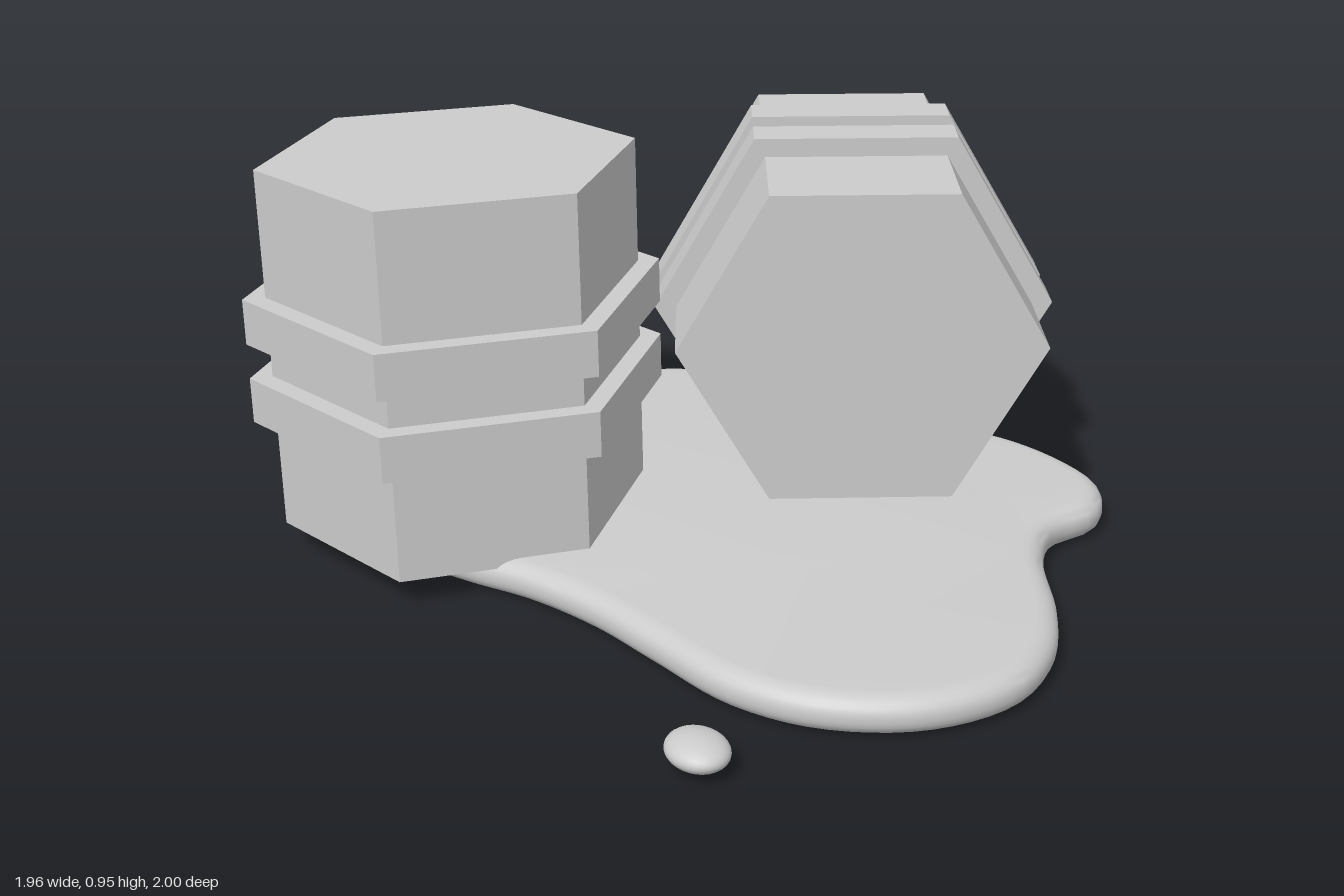
import * as THREE from 'three';
import { mergeVertices, toCreasedNormals } from 'three/addons/utils/BufferGeometryUtils.js';

const flatGrey = new THREE.MeshStandardMaterial({ color: 0xcccccc, flatShading: true });
const smoothGrey = new THREE.MeshStandardMaterial({ color: 0xcccccc });

function addMesh(parent, name, geometry, material) {
  const mesh = new THREE.Mesh(geometry, material);
  mesh.name = name;
  parent.add(mesh);
  return mesh;
}

// Hexagonal prism sized by its distance across flats
function hexPrism(acrossFlats, height) {
  const radius = acrossFlats / 2 / Math.cos(Math.PI / 6);
  return new THREE.CylinderGeometry(radius, radius, height, 6);
}

// Six-sided barrel with two raised hoops, centred on its own middle
function createBarrel(name) {
  const barrel = new THREE.Group();
  barrel.name = name;
  addMesh(barrel, 'barrelBody', hexPrism(0.76, 0.88), flatGrey);
  for (const y of [-0.115, 0.08]) {
    addMesh(barrel, 'barrelHoop', hexPrism(0.85, 0.11), flatGrey).position.y = y;
  }
  return barrel;
}

// Spilled puddle: smooth closed outline (x, z) with a rounded rim
function createPuddleGeometry() {
  const outline = [
    [0.2, -0.81], [0.37, -0.75], [0.45, -0.6], [0.47, -0.45], [0.49, -0.28],
    [0.56, 0], [0.635, 0.2], [0.635, 0.4], [0.575, 0.57], [0.46, 0.645],
    [0.31, 0.625], [0.18, 0.69], [0, 0.86], [-0.15, 0.96], [-0.32, 0.995],
    [-0.52, 0.92], [-0.67, 0.75], [-0.73, 0.55], [-0.715, 0.3], [-0.7, 0.1],
    [-0.715, -0.1], [-0.76, -0.28], [-0.775, -0.42], [-0.71, -0.55],
    [-0.55, -0.61], [-0.3, -0.62], [-0.1, -0.68], [0.05, -0.77],
  ].map(([x, z]) => new THREE.Vector3(x, -z, 0));
  const curve = new THREE.CatmullRomCurve3(outline, true);
  const points = curve.getSpacedPoints(120).slice(0, -1);
  const shape = new THREE.Shape(points.map((p) => new THREE.Vector2(p.x, p.y)));
  const geometry = new THREE.ExtrudeGeometry(shape, {
    depth: 0.01, bevelThickness: 0.04, bevelSize: 0.05, bevelOffset: -0.05, bevelSegments: 6,
  });
  geometry.rotateX(-Math.PI / 2);
  geometry.translate(0, 0.04, 0);
  geometry.deleteAttribute('uv');
  geometry.deleteAttribute('normal');
  return toCreasedNormals(mergeVertices(geometry, 1e-4), Math.PI / 5);
}

export function createModel() {
  const model = new THREE.Group();
  model.name = 'spilledBarrels';

  // Standing barrel
  const standing = createBarrel('standingBarrel');
  standing.position.set(-0.54, 0.51, -0.515);
  model.add(standing);

  // Barrel on its side, turned diagonally
  const lying = createBarrel('lyingBarrel');
  lying.position.set(0.355, 0.5, -0.065);
  lying.rotation.set(0, Math.PI / 4, Math.PI / 2);
  model.add(lying);

  // Puddle and a stray droplet
  addMesh(model, 'puddle', createPuddleGeometry(), smoothGrey);
  const droplet = addMesh(model, 'droplet', new THREE.SphereGeometry(1, 28, 16), smoothGrey);
  droplet.scale.set(0.064, 0.033, 0.078);
  droplet.rotation.y = -0.25;
  droplet.position.set(-0.92, 0.047, 0.655);

  return model;
}
